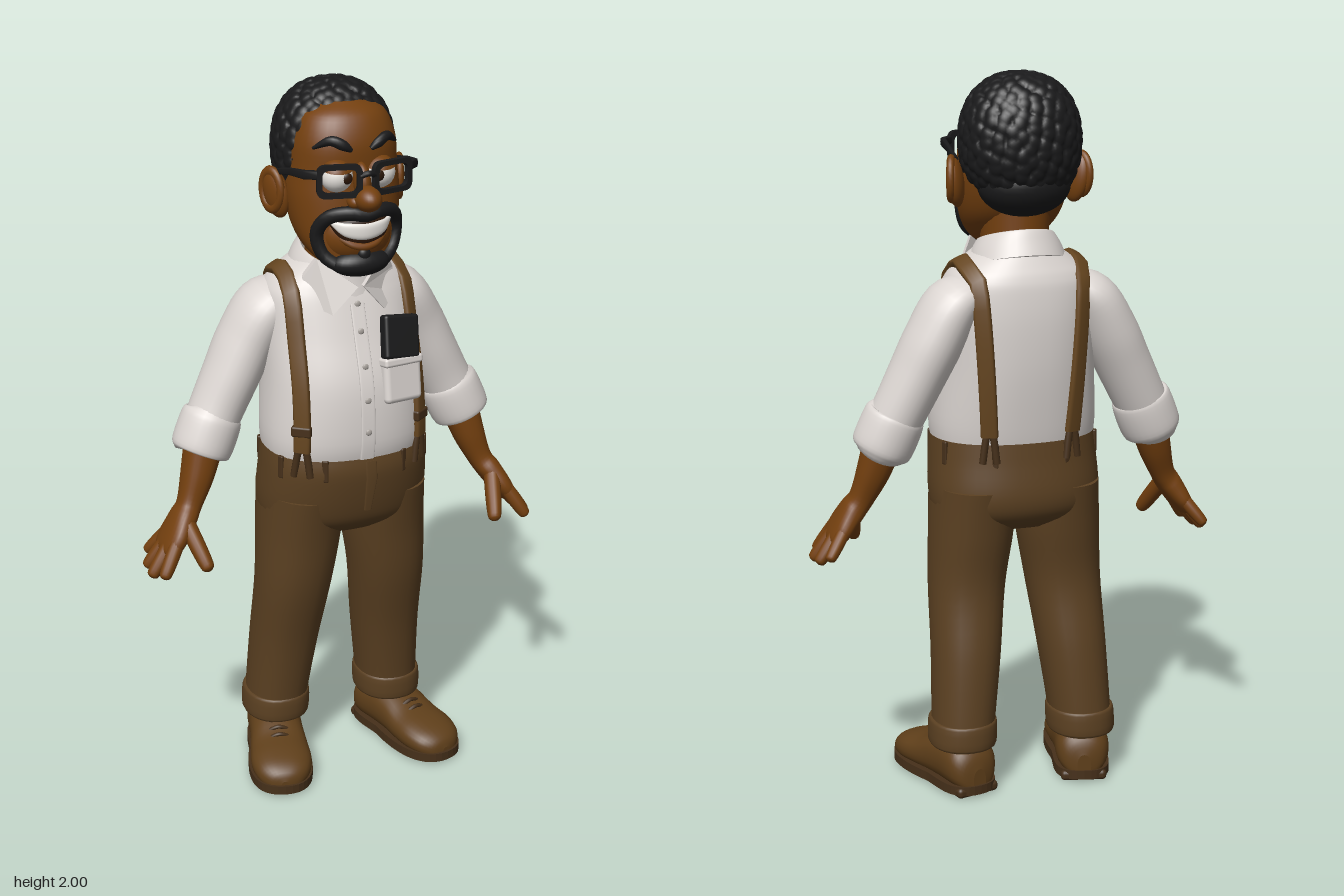
import * as THREE from 'three';
import { mergeVertices } from 'three/addons/utils/BufferGeometryUtils.js';
import { RoundedBoxGeometry } from 'three/addons/geometries/RoundedBoxGeometry.js';

const V = (x, y, z) => new THREE.Vector3(x, y, z);
const X = V(1, 0, 0), Y = V(0, 1, 0), Z = V(0, 0, 1);
const colours = {
  skin: 0x74400f, shirt: 0xdcd6d2, trousers: 0x5c4122, strap: 0x65451f, shoe: 0x5f3f1a,
  sole: 0x46301a, black: 0x1a1a1b, white: 0xf0ece6, button: 0xaba59f, iris: 0x2c1708,
};
const mats = {};
for (const [name, color] of Object.entries(colours)) {
  mats[name] = new THREE.MeshStandardMaterial({ color });
  mats[name].name = name;
}

// Catmull-Rom interpolation of rows of numbers
function smooth(rows, steps = 5) {
  const out = [];
  const at = i => rows[Math.min(rows.length - 1, Math.max(0, i))];
  for (let i = 0; i < rows.length - 1; i++) for (let k = 0; k < steps; k++) {
    const t = k / steps, [a, b, c, d] = [at(i - 1), at(i), at(i + 1), at(i + 2)];
    out.push(b.map((p, j) => p + 0.5 * t * (c[j] - a[j] + t * (2 * a[j] - 5 * p + 4 * c[j] - d[j] + t * (3 * (p - c[j]) + d[j] - a[j])))));
  }
  out.push(at(rows.length - 1));
  return out;
}

// Skin over superellipse rings [x, y, z, ru, rv] along a path, with end caps
function loft(rows, { u = X, t = null, n = 2, seg = 28 } = {}) {
  const pos = [], idx = [], c = rows.map(r => V(r[0], r[1], r[2]));
  const pw = q => Math.sign(q) * Math.pow(Math.abs(q), 2 / n);
  rows.forEach((r, i) => {
    const tan = t || c[Math.min(i + 1, c.length - 1)].clone().sub(c[Math.max(i - 1, 0)]).normalize();
    const uu = Array.isArray(u) ? u[i] : u;
    const v = tan.clone().cross(uu).normalize(), w = v.clone().cross(tan);
    for (let j = 0; j < seg; j++) {
      const a = j / seg * Math.PI * 2;
      const p = c[i].clone().addScaledVector(w, pw(Math.cos(a)) * r[3]).addScaledVector(v, pw(Math.sin(a)) * r[4]);
      pos.push(p.x, p.y, p.z);
    }
  });
  const last = rows.length - 1;
  for (let i = 0; i < last; i++) for (let j = 0; j < seg; j++) {
    const a = i * seg + j, b = i * seg + (j + 1) % seg;
    idx.push(a, b, b + seg, a, b + seg, a + seg);
  }
  for (const i of [0, last]) {
    const start = pos.length / 3;
    pos.push(...pos.slice(i * seg * 3, (i + 1) * seg * 3), c[i].x, c[i].y, c[i].z);
    for (let j = 0; j < seg; j++) {
      const a = start + j, b = start + (j + 1) % seg;
      idx.push(start + seg, ...(i ? [a, b] : [b, a]));
    }
  }
  const g = new THREE.BufferGeometry();
  g.setAttribute('position', new THREE.Float32BufferAttribute(pos, 3));
  g.setIndex(idx);
  g.computeVertexNormals();
  return g;
}

// Horizontal body rings: [y, halfWidth, zFront, zBack]
const levels = rows => smooth(rows.map(([y, rx, f, b]) => [0, y, (f + b) / 2, rx, (f - b) / 2]));
const torsoRows = levels([[0.975, 0.225, 0.172, -0.172], [1.05, 0.232, 0.187, -0.185], [1.2, 0.222, 0.178, -0.203],
  [1.33, 0.217, 0.136, -0.207], [1.42, 0.212, 0.105, -0.2], [1.46, 0.194, 0.09, -0.19], [1.49, 0.16, 0.08, -0.175], [1.525, 0.11, 0.07, -0.155]]);
const TN = 2.3;
// Point on the shirt surface, side = 1 front, -1 back
function onShirt(x, y, side = 1) {
  let i = 0;
  while (i < torsoRows.length - 2 && torsoRows[i + 1][1] < y) i++;
  const a = torsoRows[i], b = torsoRows[i + 1], k = (y - a[1]) / (b[1] - a[1]);
  const r = a.map((p, j) => p + (b[j] - p) * k);
  return V(x, y, r[2] + side * r[4] * Math.pow(Math.max(0, 1 - Math.pow(Math.abs(x) / r[3], TN)), 1 / TN));
}

// Tightly curled hair: a squarish ball covered in small bumps
function curlyHair() {
  let g = new THREE.IcosahedronGeometry(1, 34);
  g.deleteAttribute('normal'); g.deleteAttribute('uv');
  g = mergeVertices(g);
  const curls = [], N = 380, p = g.attributes.position, d = V();
  for (let i = 0; i < N; i++) {
    const y = 1 - 2 * (i + 0.5) / N, r = Math.sqrt(1 - y * y), a = i * 2.39996 + Math.sin(i * 7.3) * 0.08;
    curls.push(V(Math.cos(a) * r, y, Math.sin(a) * r));
  }
  for (let i = 0; i < p.count; i++) {
    d.fromBufferAttribute(p, i).normalize();
    let m = 9;
    for (const c of curls) m = Math.min(m, c.distanceToSquared(d));
    const q = 2.25, s = Math.pow(Math.abs(d.x) ** q + Math.abs(d.y) ** q + Math.abs(d.z) ** q, -1 / q);
    d.multiplyScalar(s * (0.98 + 0.055 * Math.sqrt(Math.max(0, 1 - m / 0.015))));
    p.setXYZ(i, d.x * 0.16, d.y * 0.179, d.z * 0.154);
  }
  g.computeVertexNormals();
  return g;
}

export function createModel() {
  const root = new THREE.Group();
  root.name = 'standingMan';
  const add = (name, geo, mat, pos = [0, 0, 0], rot = [0, 0, 0], scale = [1, 1, 1], parent = root) => {
    const m = new THREE.Mesh(geo, mats[mat]);
    m.name = name;
    m.position.set(...pos); m.rotation.set(...rot); m.scale.set(...scale);
    parent.add(m);
    return m;
  };
  const ball = new THREE.SphereGeometry(1, 28, 20);
  const blob = (name, mat, pos, r, rot) => add(name, ball, mat, pos, rot, r);
  const tube = (pts, r, closed = false) => new THREE.TubeGeometry(new THREE.CatmullRomCurve3(pts.map(p => V(...p)), closed), 40, r, 10, closed);

  // Shirt body, placket and buttons
  add('shirt', loft(torsoRows, { t: Y, n: TN, seg: 48 }), 'shirt');
  const placket = [];
  for (let y = 1.0; y <= 1.45; y += 0.03) { const p = onShirt(0, y); placket.push([0, y, p.z, 0.02, 0.005]); }
  add('placket', loft(placket, { n: 6 }), 'shirt');
  for (const y of [1.08, 1.17, 1.26, 1.35, 1.42]) blob('button', 'button', [0, y, onShirt(0, y).z + 0.005], [0.009, 0.009, 0.004]);
  // Breast pocket with a dark case in it
  add('breastPocket', new RoundedBoxGeometry(0.118, 0.125, 0.045, 3, 0.015), 'shirt', [0.105, 1.21, 0.158], [-0.15, 0.2, 0]);
  add('pocketFlap', new RoundedBoxGeometry(0.122, 0.025, 0.052, 3, 0.008), 'shirt', [0.105, 1.262, 0.153], [-0.15, 0.2, 0]);
  add('pocketCase', new RoundedBoxGeometry(0.11, 0.12, 0.035, 3, 0.01), 'black', [0.108, 1.325, 0.145], [-0.28, 0.2, -0.08]);

  // Neck and collar
  add('neck', loft([[0, 1.42, -0.03, 0.088, 0.095], [0, 1.5, -0.025, 0.088, 0.098], [0, 1.64, -0.02, 0.1, 0.1]], { t: Y }), 'skin');
  const collarAxis = V(0, 1, 0.3).normalize();
  add('collar', loft(smooth([[0, 1.478, -0.04, 0.138, 0.145], [0, 1.515, -0.035, 0.125, 0.132], [0, 1.545, -0.03, 0.108, 0.122],
    [0, 1.548, -0.03, 0.1, 0.114], [0, 1.5, -0.03, 0.09, 0.1]], 3), { t: collarAxis, seg: 40 }), 'shirt');
  const wing = [[0.008, 1.475], [0.075, 1.4], [0.132, 1.425], [0.13, 1.49], [0.1, 1.545]];
  for (const s of [1, -1]) {
    const shape = new THREE.Shape(wing.map(([x, y]) => new THREE.Vector2(s * x, y)));
    const g = new THREE.ExtrudeGeometry(shape, { depth: 0.016, bevelEnabled: false });
    const p = g.attributes.position;
    for (let i = 0; i < p.count; i++) p.setZ(i, p.getZ(i) + 0.118 - 5.2 * p.getX(i) ** 2 + (1.475 - p.getY(i)) * 0.2);
    g.computeVertexNormals();
    add('collarWing', g, 'shirt');
  }

  // Trousers: hips, fly and belt loops
  add('hips', loft(levels([[1.005, 0.229, 0.178, -0.178], [0.95, 0.235, 0.184, -0.184], [0.85, 0.24, 0.165, -0.195],
    [0.79, 0.225, 0.14, -0.175], [0.75, 0.15, 0.09, -0.12]]), { t: V(0, -1, 0), n: 2.3, seg: 48 }), 'trousers');
  add('fly', loft([[0.012, 0.99, 0.179, 0.016, 0.004], [0.012, 0.94, 0.185, 0.016, 0.004], [0.008, 0.84, 0.166, 0.01, 0.004]], { n: 5 }), 'trousers');
  for (const a of [0.5, 1.1, 2.0, 2.7, -0.5, -1.1, -2.0, -2.7])
    add('beltLoop', new RoundedBoxGeometry(0.018, 0.065, 0.014, 2, 0.004), 'sole', [Math.sin(a) * 0.238, 0.972, Math.cos(a) * 0.183], [0, a, 0]);

  for (const s of [1, -1]) {
    // Legs with turn-ups
    add('trouserLeg', loft(smooth([[s * 0.122, 0.87, -0.015, 0.113, 0.165], [s * 0.127, 0.74, -0.018, 0.115, 0.142], [s * 0.142, 0.58, -0.022, 0.106, 0.12],
      [s * 0.157, 0.39, -0.06, 0.096, 0.11], [s * 0.173, 0.2, -0.085, 0.087, 0.102], [s * 0.177, 0.13, -0.088, 0.085, 0.1]]), { t: V(0, -1, 0), n: 2.2 }), 'trousers');
    add('turnUp', loft(smooth([[s * 0.175, 0.205, -0.086, 0.085, 0.1], [s * 0.175, 0.198, -0.086, 0.094, 0.108],
      [s * 0.177, 0.14, -0.088, 0.094, 0.108], [s * 0.177, 0.132, -0.088, 0.084, 0.098]], 3), { t: V(0, -1, 0), n: 2.2 }), 'trousers');

    // Shoes, turned slightly outward
    const shoe = new THREE.Group();
    shoe.name = s > 0 ? 'leftShoe' : 'rightShoe';
    shoe.position.set(s * 0.18, 0, -0.09); shoe.rotation.y = s * 0.25;
    root.add(shoe);
    const upper = [[-0.098, 0.02, 0.08], [-0.085, 0.055, 0.12], [-0.05, 0.075, 0.15], [0.02, 0.076, 0.155], [0.08, 0.078, 0.14],
      [0.14, 0.084, 0.115], [0.2, 0.087, 0.103], [0.25, 0.074, 0.088], [0.28, 0.045, 0.068], [0.29, 0.012, 0.045]];
    add('shoeUpper', loft(smooth(upper.map(([z, w, h]) => [0, (h + 0.01) / 2, z, w, (h - 0.01) / 2]), 4), { t: Z, n: 2.3 }), 'shoe', undefined, undefined, undefined, shoe);
    const soleShape = new THREE.Shape();
    soleShape.moveTo(0, 0.105);
    soleShape.bezierCurveTo(0.1, 0.105, 0.075, 0, 0.08, -0.06);
    soleShape.bezierCurveTo(0.1, -0.16, 0.105, -0.298, 0, -0.298);
    soleShape.bezierCurveTo(-0.105, -0.298, -0.1, -0.16, -0.08, -0.06);
    soleShape.bezierCurveTo(-0.075, 0, -0.1, 0.105, 0, 0.105);
    add('sole', new THREE.ExtrudeGeometry(soleShape, { depth: 0.026, bevelEnabled: false, curveSegments: 14 }), 'sole', [0, 0.008, 0], [-Math.PI / 2, 0, 0], undefined, shoe);
    add('heel', new RoundedBoxGeometry(0.13, 0.03, 0.11, 3, 0.012), 'sole', [0, 0.015, -0.04], undefined, undefined, shoe);
    for (const [z, y] of [[0.09, 0.135], [0.115, 0.125], [0.14, 0.115]])
      add('lace', tube([[-0.04, y - 0.018, z], [0, y + 0.002, z + 0.006], [0.04, y - 0.018, z]], 0.006), 'sole', undefined, undefined, undefined, shoe);

    // Braces: up the front, over the shoulder, down the back
    const pts = [], us = [];
    const lay = (x, y, side) => {
      pts.push(onShirt(s * x, y, side));
      us.push(onShirt(s * x + 0.015, y, side).sub(onShirt(s * x - 0.015, y, side)).normalize());
    };
    for (let i = 0; i <= 12; i++) lay(0.172 - 0.008 * i / 12, 1.03 + 0.035 * i, 1);
    for (const [y, z] of [[1.483, -0.005], [1.495, -0.05], [1.483, -0.1]]) { pts.push(V(s * 0.16, y, z)); us.push(V(0.88, -0.47 * s, 0)); }
    for (let i = 12; i >= 0; i--) lay(0.118 + 0.028 * i / 12, 1.03 + 0.035 * i, -1);
    add('brace', loft(pts.map(p => [p.x, p.y, p.z, 0.024, 0.013]), { u: us, n: 4, seg: 16 }), 'strap');
    for (const [x, side] of [[0.172, 1], [0.118, -1]]) {
      const p = onShirt(s * x, 1.09, side);
      const yaw = side > 0 ? s * 0.65 : Math.PI - s * 0.35;
      if (side > 0) add('braceClasp', new RoundedBoxGeometry(0.056, 0.03, 0.03, 2, 0.006), 'sole', [p.x, p.y, p.z], [0, yaw, 0]);
      for (const d of [-0.018, 0.018]) {
        const a = onShirt(s * x + d * 0.3, 1.05, side), b = onShirt(s * x + d, 0.98, side);
        add('braceTab', tube([[a.x, a.y, a.z], [(a.x + b.x) / 2, 1.01, (a.z + b.z) / 2 + side * 0.006], [b.x, 0.955, b.z + side * 0.012]], 0.01), 'sole');
      }
    }

    // Sleeves with rolled cuffs
    add('sleeve', loft(smooth([[s * 0.13, 1.425, -0.075, 0.08, 0.04], [s * 0.195, 1.385, -0.08, 0.105, 0.072], [s * 0.25, 1.29, -0.085, 0.1, 0.08],
      [s * 0.295, 1.2, -0.08, 0.092, 0.078], [s * 0.34, 1.11, -0.075, 0.083, 0.075], [s * 0.385, 1.02, -0.065, 0.078, 0.072]]), { u: Z }), 'shirt');
    add('rolledCuff', loft(smooth([[s * 0.352, 1.095, -0.072, 0.07, 0.066], [s * 0.355, 1.088, -0.071, 0.084, 0.082], [s * 0.375, 1.04, -0.067, 0.088, 0.086],
      [s * 0.395, 0.995, -0.063, 0.085, 0.082], [s * 0.398, 0.988, -0.062, 0.068, 0.064]], 4), { u: Z }), 'shirt');

    // Forearm, palm, fingers and thumb
    add('forearm', loft(smooth([[s * 0.385, 1.02, -0.06, 0.056, 0.054], [s * 0.412, 0.93, -0.045, 0.05, 0.045], [s * 0.442, 0.855, -0.03, 0.04, 0.034],
      [s * 0.465, 0.82, -0.02, 0.052, 0.034], [s * 0.495, 0.775, -0.012, 0.068, 0.03], [s * 0.518, 0.74, -0.012, 0.062, 0.024], [s * 0.524, 0.73, -0.012, 0.04, 0.012]]), { u: Z, n: 2.3 }), 'skin');
    const digit = (name, a, b, r) => {
      const rows = [0, 0.5, 0.88, 0.97, 1].map((k, i) => [s * (a[0] + (b[0] - a[0]) * k), a[1] + (b[1] - a[1]) * k, a[2] + (b[2] - a[2]) * k,
        r * [1, 1, 0.85, 0.55, 0.1][i], r * [1, 0.95, 0.8, 0.5, 0.1][i]]);
      add(name, loft(smooth(rows, 3), { u: Z, seg: 14 }), 'skin');
    };
    digit('finger', [0.5, 0.77, 0.033], [0.552, 0.685, 0.068], 0.021);
    digit('finger', [0.51, 0.76, 0.003], [0.573, 0.673, 0.018], 0.022);
    digit('finger', [0.51, 0.76, -0.028], [0.57, 0.678, -0.04], 0.021);
    digit('finger', [0.5, 0.77, -0.058], [0.552, 0.7, -0.095], 0.019);
    digit('thumb', [0.465, 0.815, 0.01], [0.432, 0.705, 0.105], 0.024);
  }

  // Head
  add('face', loft(levels([[1.515, 0.04, 0.12, 0.05], [1.535, 0.085, 0.14, 0], [1.575, 0.122, 0.142, -0.06], [1.63, 0.144, 0.138, -0.11],
    [1.71, 0.154, 0.133, -0.14], [1.78, 0.148, 0.128, -0.14], [1.86, 0.14, 0.126, -0.13], [1.925, 0.112, 0.098, -0.11], [1.955, 0.06, 0.05, -0.08]]), { t: Y, n: 2.2, seg: 40 }), 'skin');
  add('curlyHair', curlyHair(), 'black', [0, 1.814, -0.068]);
  blob('napeHair', 'black', [0, 1.7, -0.105], [0.128, 0.085, 0.1]);
  blob('muzzle', 'skin', [0, 1.615, 0.07], [0.105, 0.09, 0.095]);
  blob('nose', 'skin', [0, 1.727, 0.172], [0.036, 0.034, 0.052]);
  blob('noseBridge', 'skin', [0, 1.765, 0.135], [0.022, 0.05, 0.035], [-0.25, 0, 0]);

  // Mouth, teeth and goatee
  const smile = (h, dz, drop) => loft(smooth([[-0.082, 1.66, 0.12, 0.004, 0.008], [-0.05, 1.643, 0.148, h * 0.85, 0.01], [0, 1.636, 0.16, h, 0.01],
    [0.05, 1.643, 0.148, h * 0.85, 0.01], [0.082, 1.66, 0.12, 0.004, 0.008]].map(r => [r[0], r[1] - drop, r[2] + dz, r[3], r[4]])), { u: Y, n: 2.6 });
  add('mouth', smile(0.034, -0.002, 0.003), 'iris');
  add('teeth', smile(0.022, 0.004, 0), 'white');
  add('lowerLip', tube([[-0.06, 1.617, 0.137], [-0.03, 1.6, 0.158], [0, 1.595, 0.165], [0.03, 1.6, 0.158], [0.06, 1.617, 0.137]], 0.01), 'skin');
  const half = [[0.04, 1.688, 0.158], [0.09, 1.674, 0.127], [0.112, 1.63, 0.1], [0.098, 1.57, 0.106], [0.055, 1.538, 0.13]];
  add('goatee', tube([[0, 1.682, 0.168], ...half, [0, 1.53, 0.143], ...half.map(([x, y, z]) => [-x, y, z]).reverse()], 0.019, true), 'black');
  blob('chinBeard', 'black', [0, 1.543, 0.125], [0.082, 0.038, 0.048]);
  blob('soulPatch', 'black', [0, 1.572, 0.152], [0.018, 0.02, 0.015]);

  for (const s of [1, -1]) {
    blob('nostril', 'skin', [s * 0.03, 1.717, 0.155], [0.018, 0.018, 0.025]);
    // Ears
    blob('ear', 'skin', [s * 0.172, 1.705, -0.04], [0.024, 0.068, 0.043], [-0.15, -s * 0.4, -s * 0.15]);
    add('earRim', new THREE.TorusGeometry(0.036, 0.011, 10, 28), 'skin', [s * 0.184, 1.715, -0.042], [0, s * 1.2, 0], [1, 1.4, 1]);
    // Eyes with upper lids and brows
    blob('eyeball', 'white', [s * 0.06, 1.778, 0.108], [0.043, 0.043, 0.043]);
    blob('iris', 'iris', [s * 0.045, 1.778, 0.147], [0.014, 0.015, 0.007]);
    add('eyelid', new THREE.SphereGeometry(0.046, 24, 12, 0, Math.PI * 2, 0, Math.PI * 0.36), 'skin', [s * 0.06, 1.778, 0.108], [0.15, 0, 0]);
    add('eyebrow', loft(smooth([[s * 0.028, 1.847, 0.13, 0.006, 0.008], [s * 0.05, 1.862, 0.13, 0.014, 0.012], [s * 0.08, 1.873, 0.115, 0.013, 0.012],
      [s * 0.115, 1.85, 0.082, 0.004, 0.006]]), { u: Y, seg: 14 }), 'black');
    // Spectacles
    const box = (Cls, w, h, r) => {
      const q = new Cls();
      q.moveTo(-w + r, -h); q.lineTo(w - r, -h); q.quadraticCurveTo(w, -h, w, -h + r); q.lineTo(w, h - r); q.quadraticCurveTo(w, h, w - r, h);
      q.lineTo(-w + r, h); q.quadraticCurveTo(-w, h, -w, h - r); q.lineTo(-w, -h + r); q.quadraticCurveTo(-w, -h, -w + r, -h);
      return q;
    };
    const rim = box(THREE.Shape, 0.06, 0.044, 0.025);
    rim.holes.push(box(THREE.Path, 0.046, 0.031, 0.02));
    add('spectacleRim', new THREE.ExtrudeGeometry(rim, { depth: 0.016, bevelEnabled: false }), 'black', [s * 0.072, 1.778, 0.155], [0, s * 0.22, 0]);
    add('spectacleArm', loft([[s * 0.128, 1.797, 0.15, 0.012, 0.008], [s * 0.155, 1.795, 0.125, 0.012, 0.008], [s * 0.163, 1.785, 0.05, 0.01, 0.006],
      [s * 0.17, 1.765, -0.04, 0.008, 0.006]], { u: Y, n: 4, seg: 12 }), 'black');
  }
  add('spectacleBridge', tube([[-0.02, 1.79, 0.176], [0, 1.797, 0.184], [0.02, 1.79, 0.176]], 0.008), 'black');
  return root;
}
